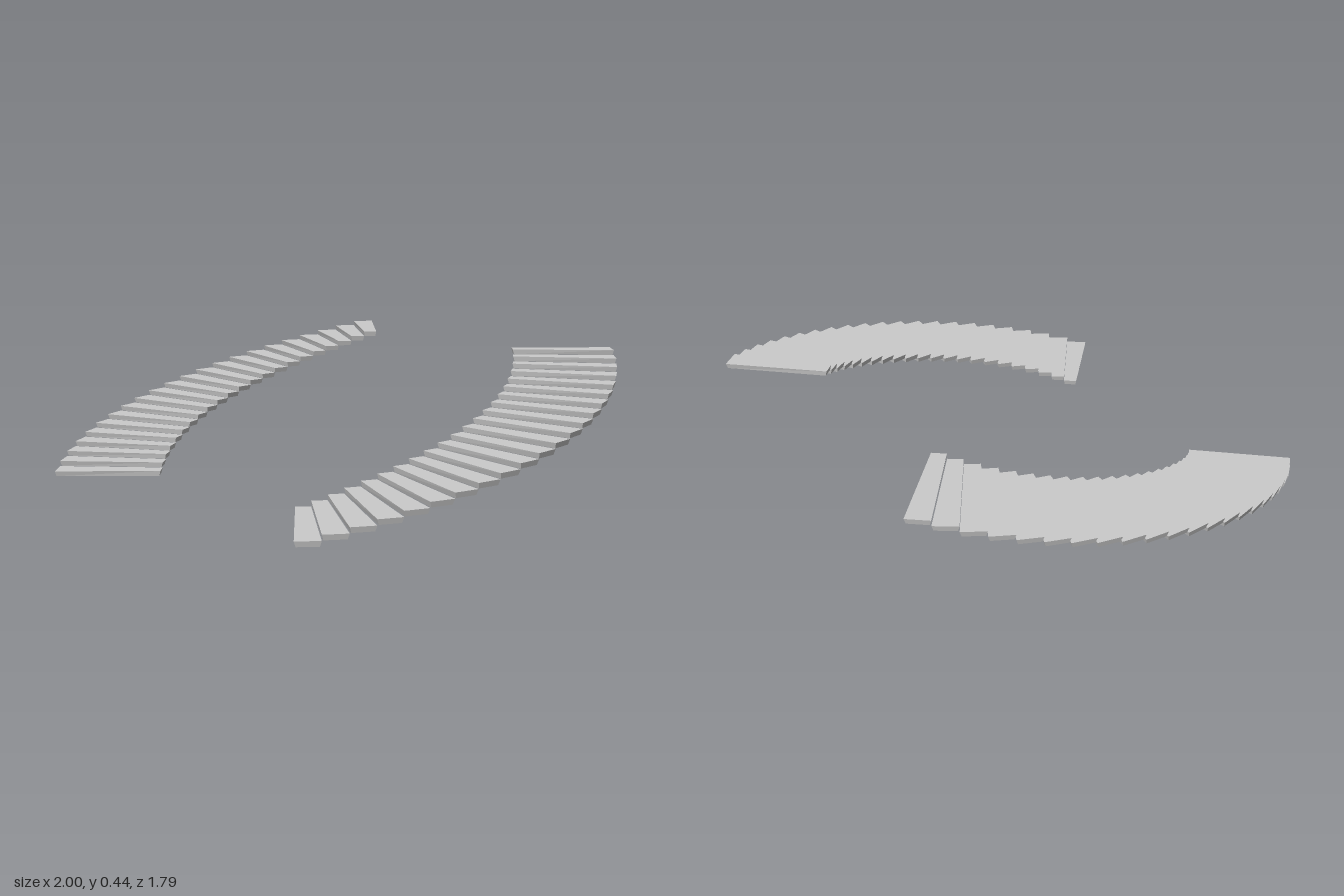
import * as THREE from 'three';

const STEPS = 22;
const RISE = 0.02;
const HALF_WIDTH = 0.2;
const RX = 0.8, RZ = 0.975;                    // ellipse of the flight's centre line
const SWEEP = THREE.MathUtils.degToRad(50.5);  // half sweep of each flight
const INSET = 0.005;                           // underside is slightly smaller than the tread

// Point on the flight at ellipse parameter t, moved sideways along the normal
function planPoint(t, offset) {
  const n = new THREE.Vector2(Math.cos(t) / RX, Math.sin(t) / RZ).normalize();
  return new THREE.Vector2(RX * Math.cos(t), RZ * Math.sin(t)).addScaledVector(n, offset);
}

// A wedge-shaped tread: a unit box with its corners moved onto the curve
function stepGeometry(index, side) {
  const geo = new THREE.BoxGeometry(1, 1, 1);
  const pos = geo.attributes.position;
  const dt = (2 * SWEEP) / STEPS;
  const front = SWEEP - index * dt;
  for (let i = 0; i < pos.count; i++) {
    const out = Math.sign(pos.getX(i)) * side;
    const top = pos.getY(i) > 0;
    const isFront = pos.getZ(i) > 0;
    const inset = top ? 0 : INSET;
    const t = isFront ? front - inset : front - dt + inset;
    const p = planPoint(t, out * (HALF_WIDTH - inset));
    pos.setXYZ(i, side * p.x, (index + (top ? 1 : 0)) * RISE, p.y);
  }
  geo.computeVertexNormals();
  return geo;
}

export function createModel() {
  const model = new THREE.Group();
  model.name = 'curvedDoubleStaircase';
  const material = new THREE.MeshStandardMaterial({ color: 0xcccccc, flatShading: true });

  // Two mirrored flights, both climbing from the front to the back
  for (const [name, side] of [['left', 1], ['right', -1]]) {
    const flight = new THREE.Group();
    flight.name = name + 'Flight';
    for (let i = 0; i < STEPS; i++) {
      const step = new THREE.Mesh(stepGeometry(i, side), material);
      step.name = name + 'Step' + (i + 1);
      flight.add(step);
    }
    model.add(flight);
  }
  return model;
}
